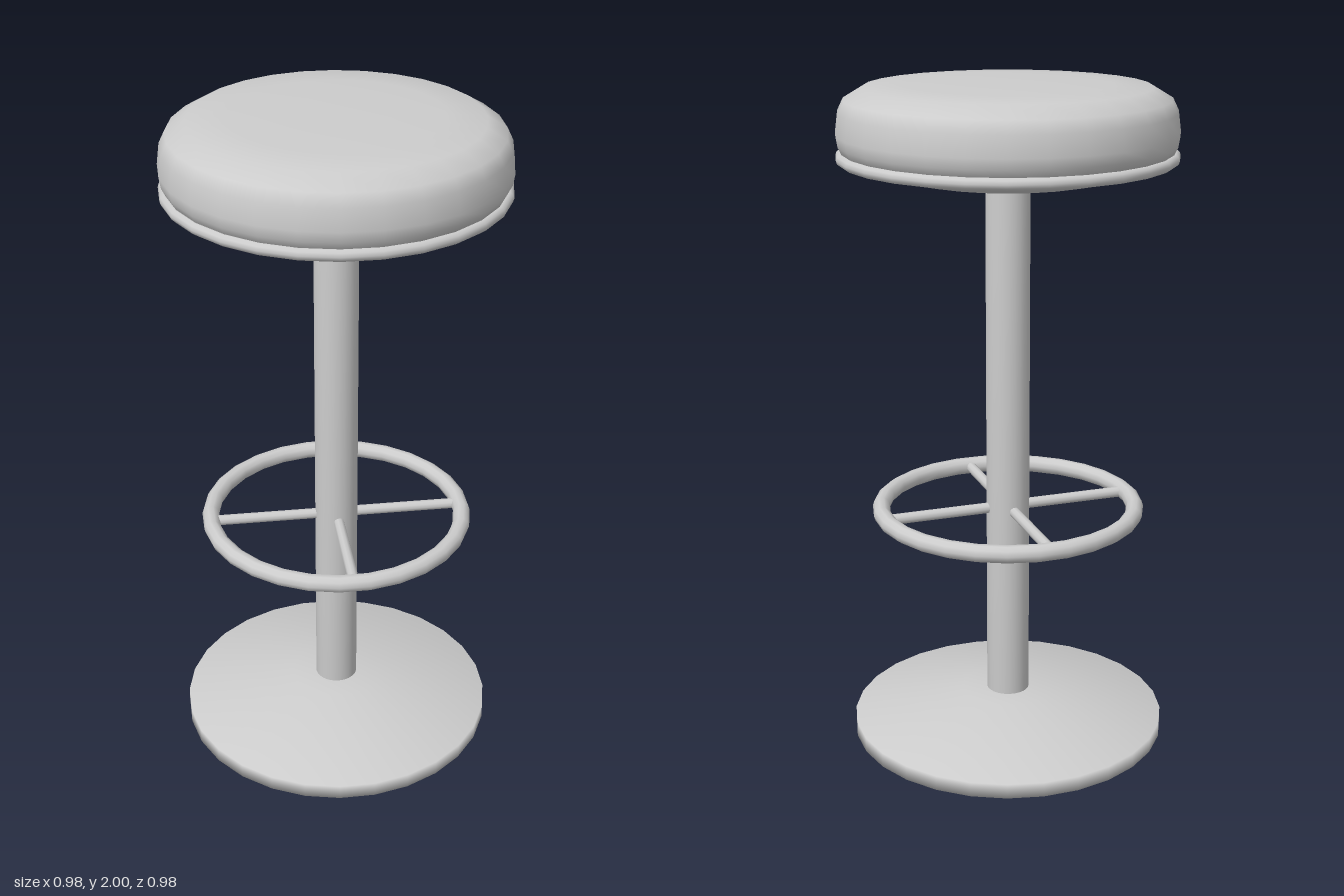
import * as THREE from 'three';

const SIDES = 28;

export function createModel() {
  const stool = new THREE.Group();
  stool.name = 'barStool';

  const grey = new THREE.MeshStandardMaterial({ color: 0xcccccc });
  grey.name = 'light grey';

  const add = (name, geometry, parent = stool) => {
    const mesh = new THREE.Mesh(geometry, grey);
    mesh.name = name;
    parent.add(mesh);
    return mesh;
  };

  // Turned parts: profile of [radius, height] from bottom to top, smooth normals
  const turned = (name, profile, sides = SIDES) =>
    add(name, new THREE.LatheGeometry(profile.map(([r, y]) => new THREE.Vector2(r, y)), sides));

  // Horizontal tube ring
  const ring = (name, radius, tube, y, parent) => {
    const geometry = new THREE.TorusGeometry(radius, tube, 10, SIDES);
    geometry.rotateX(Math.PI / 2);
    return add(name, geometry.translate(0, y, 0), parent);
  };

  // Foot disc and post
  turned('base', [[0, 0], [0.48, 0], [0.48, 0.045], [0.14, 0.122], [0, 0.122]]);
  turned('column', [[0, 0.1], [0.065, 0.1], [0.065, 1.75], [0, 1.75]], 24);

  // Footrest: ring with two crossing diagonal spokes
  const footrest = new THREE.Group();
  footrest.name = 'footrest';
  stool.add(footrest);
  ring('footrestRing', 0.385, 0.026, 0.727, footrest);
  for (const angle of [Math.PI / 4, -Math.PI / 4]) {
    const spoke = new THREE.CylinderGeometry(0.016, 0.016, 0.77, 10);
    spoke.rotateZ(Math.PI / 2).rotateY(angle).translate(0, 0.727, 0);
    add('footrestSpoke', spoke, footrest);
  }

  // Seat: shallow pan, trim ring and padded cushion
  turned('seatPan', [[0, 1.737], [0.3, 1.737], [0.42, 1.765], [0.465, 1.785], [0.465, 1.81]]);
  ring('seatTrim', 0.474, 0.017, 1.793);
  turned('cushion', [
    [0, 1.8], [0.47, 1.8], [0.485, 1.83], [0.49, 1.86], [0.482, 1.92],
    [0.465, 1.955], [0.41, 1.988], [0.3, 1.995], [0.15, 2], [0, 2],
  ]);

  return stool;
}
